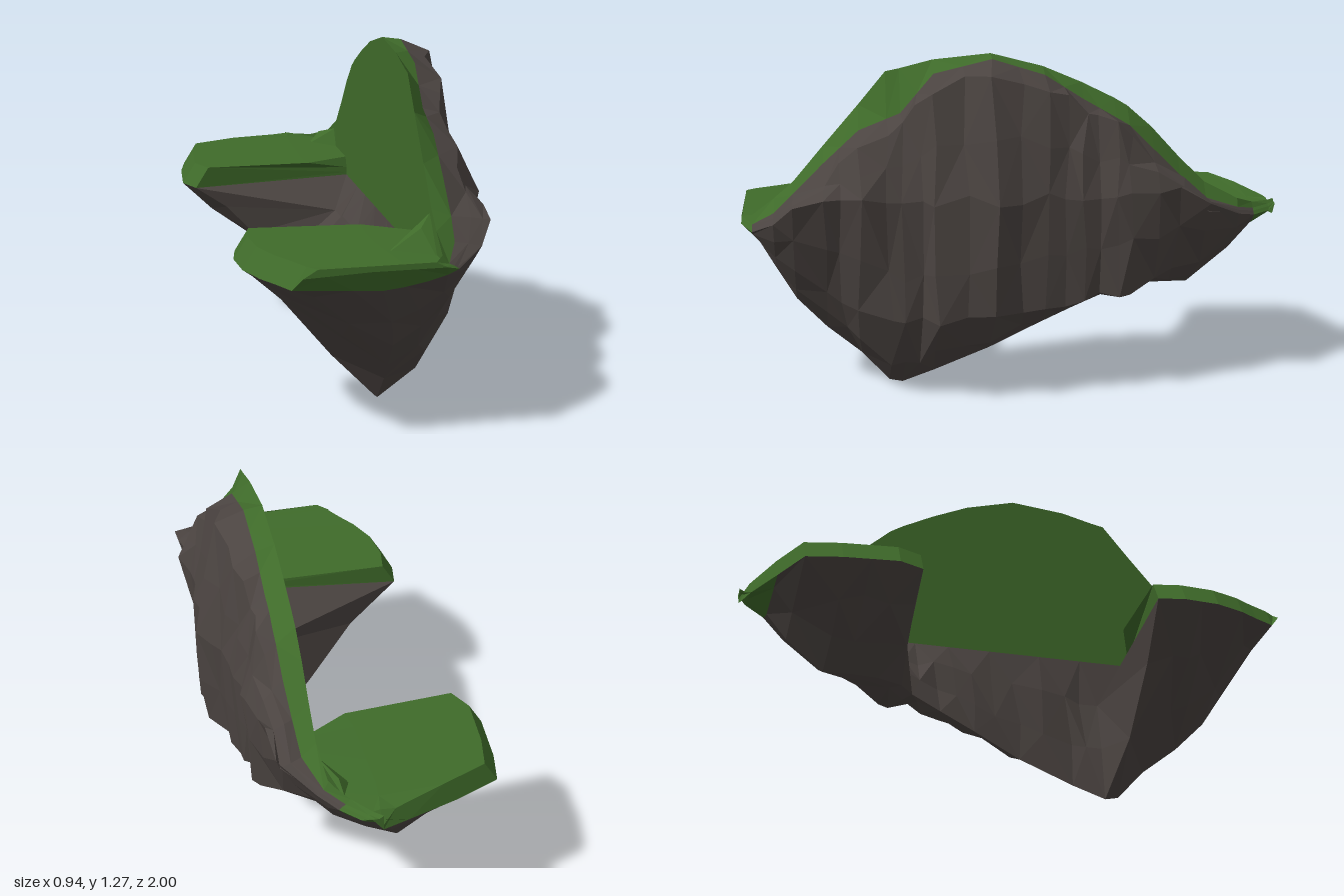
import * as THREE from 'three';
import { ConvexGeometry } from 'three/addons/geometries/ConvexGeometry.js';

const { lerp, clamp } = THREE.MathUtils;

// Cross-sections from front to back:
// z, ledge tip x, wall top y, grass bevel drop, outer x, keel x, keel y
const STATIONS = [
  [1, -0.28, 0.68, 0.01, 0.21, -0.05, 0.66],
  [0.96, -0.31, 0.69, 0.03, 0.26, 0, 0.58],
  [0.88, -0.35, 0.75, 0.04, 0.36, 0.05, 0.44],
  [0.81, -0.39, 0.81, 0.03, 0.41, 0.07, 0.33],
  [0.7, -0.43, 0.94, 0.05, 0.41, 0.08, 0.22],
  [0.57, -0.44, 1.09, 0.08, 0.43, 0.1, 0.12],
  [0.47, -0.42, 1.21, 0.16, 0.41, 0.1, 0.01],
  [0.42, 0.2, 1.22, 0.15, 0.41, 0.1, 0],
  [0.3, 0.2, 1.25, 0.04, 0.44, 0.12, 0.05],
  [0.09, 0.2, 1.27, 0.01, 0.46, 0.11, 0.13],
  [-0.1, 0.2, 1.22, 0.02, 0.42, 0.05, 0.2],
  [-0.24, 0.2, 1.16, 0.05, 0.4, 0.01, 0.25],
  [-0.36, 0.2, 1.1, 0.06, 0.39, -0.05, 0.28],
  [-0.41, -0.43, 1.07, 0.06, 0.38, -0.1, 0.29],
  [-0.5, -0.47, 0.99, 0.07, 0.37, -0.12, 0.3],
  [-0.6, -0.46, 0.88, 0.06, 0.35, -0.13, 0.3],
  [-0.7, -0.45, 0.78, 0.05, 0.33, -0.1, 0.31],
  [-0.83, -0.42, 0.71, 0.03, 0.23, -0.04, 0.45],
  [-0.9, -0.25, 0.68, 0.02, 0.17, 0, 0.56],
  [-0.97, -0.06, 0.67, 0.01, 0.11, 0.04, 0.62],
  [-1, 0.03, 0.67, 0.01, 0.08, 0.05, 0.66],
];

// Small seeded noise in the range -1..1
function makeNoise(seed) {
  let s = seed;
  return () => {
    s = (s * 16807) % 2147483647;
    return (s / 2147483647) * 2 - 1;
  };
}

// Shallow grooves down the cliff: an inset section inside each wide gap
function withGrooves(stations) {
  return stations.flatMap((s, i) => {
    const next = stations[i + 1];
    if (!next || s[0] - next[0] < 0.115 || s[0] < -0.6) return [s];
    const groove = s.map((v, k) => lerp(v, next[k], 0.5));
    groove[4] -= 0.025;
    return [s, groove];
  });
}

// The inner corner of each ledge is cut back along z where it meets the wall
function cornerZ(z) {
  return z > 0 ? Math.max(z, 0.58 + 0.4 * (z - 0.47)) : Math.min(z, -0.52 + 0.4 * (z + 0.41));
}

// One closed outline: ledge, wall face, grass bevel, outer cliff, keel, underside, rim
function outline([z, tip, top, drop, outer, keelX, keelY], noise) {
  const inner = Math.min(0.2, outer - 0.04);
  const arm = tip < inner - 0.01;
  const bevelX = Math.min(inner + 0.07, lerp(inner, outer, 0.4));
  const bevelY = top - drop;
  const midY = Math.max(keelY, Math.min(0.78, bevelY - 0.02));
  const rimY = Math.max(0.6, keelY - 0.01);
  // The cliff is upright along the middle and tapers to a wedge at both ends
  const taper = clamp((Math.abs(z) - 0.4) / 0.3, 0, 1);
  const upper = (t, y) => [lerp(bevelX, outer, t), lerp(bevelY, midY, y)];
  const lower = (t, y) => [lerp(outer, keelX, t), lerp(midY, keelY, y)];
  const cliff = [
    upper(0.5, lerp(0.09, 0.4, taper)),
    upper(0.8, lerp(0.55, 0.78, taper)),
    [outer, midY],
    lower(lerp(0.03, 0.15, taper), lerp(0.38, 0.3, taper)),
    lower(lerp(0.1, 0.42, taper), lerp(Math.min(0.76, 0.6 + 0.65 * keelY), 0.62, taper)),
    lower(lerp(0.45, 0.7, taper), 0.85),
  ];
  const under = [0.33, 0.67].map((t) => [lerp(keelX, tip, t), lerp(keelY, rimY, t)]);
  const amount = Math.abs(z) > 0.75 ? 0 : 0.014;
  const rough = ([x, y]) => [
    x + noise() * amount, y + noise() * amount * 1.5, z + noise() * amount,
  ];
  // Wall sections beside a ledge start at the ledge's cut-back corner
  const footZ = !arm && (z > 0.4 || z < -0.35) ? cornerZ(z) : z;
  const tipX = Math.min(tip + 0.05, inner - 0.02);
  const ledge = arm
    ? [[tipX, Math.min(0.68, top), z], [lerp(tipX, inner, 0.7), 0.675, lerp(z, cornerZ(z), 0.15)],
      [inner, 0.67, cornerZ(z)]]
    : [[inner, 0.61, footZ], [inner, 0.63, footZ], [inner, 0.66, footZ]];
  return [
    ...ledge,
    [inner, top, z],
    [bevelX, bevelY, z],
    ...cliff.map(rough),
    [keelX, keelY, z],
    ...under.map(rough),
    [tip, rimY, footZ],
  ];
}

function makeMesh(name, geometry, color) {
  const mesh = new THREE.Mesh(geometry, new THREE.MeshStandardMaterial({ color, flatShading: true }));
  mesh.name = name;
  return mesh;
}

function skin(positions) {
  const geometry = new THREE.BufferGeometry();
  geometry.setAttribute('position', new THREE.Float32BufferAttribute(positions, 3));
  geometry.computeVertexNormals();
  return geometry;
}

export function createModel() {
  const group = new THREE.Group();
  group.name = 'floatingIsland';
  const noise = makeNoise(4271);
  const rings = withGrooves(STATIONS).map((s) => outline(s, noise));
  const last = rings.length - 1;
  const n = rings[0].length;
  const grass = [];
  const rock = [];

  // Skin between neighbouring outlines, split into grass and rock
  for (let i = 0; i < last; i++) {
    for (let j = 0; j < n; j++) {
      const k = (j + 1) % n;
      const a = rings[i][j], b = rings[i][k], c = rings[i + 1][k], d = rings[i + 1][j];
      const green = j < 4 || j === n - 1 || i === 0 || i >= last - 2;
      const tris = (i + j) % 2 ? [a, b, c, a, c, d] : [a, b, d, b, c, d];
      (green ? grass : rock).push(...tris.flat());
    }
  }

  // Thin grass edges closing both ends
  const front = rings[0], back = rings[last];
  for (let j = 1; j < n - 1; j++) {
    grass.push(...front[0], ...front[j + 1], ...front[j], ...back[0], ...back[j], ...back[j + 1]);
  }

  const green = 0x3f6b2a;
  group.add(makeMesh('rockCliff', skin(rock), 0x4b4441));
  group.add(makeMesh('grassCover', skin(grass), green));

  // Small grassy mounds where the wall meets each ledge
  const mounds = {
    frontMound: [[0.04, 0.66, 0.82], [0.16, 0.75, 0.83], [0.13, 0.66, 0.78],
      [0.2, 0.66, 0.72], [0.2, 0.66, 0.9], [0.2, 0.79, 0.79]],
    backMound: [[0.1, 0.66, -0.8], [0.15, 0.71, -0.82], [0.14, 0.66, -0.88],
      [0.2, 0.74, -0.73], [0.2, 0.66, -0.7]],
  };
  for (const [name, pts] of Object.entries(mounds)) {
    const corners = pts.map((p) => new THREE.Vector3(...p));
    group.add(makeMesh(name, new ConvexGeometry(corners), green));
  }
  return group;
}
